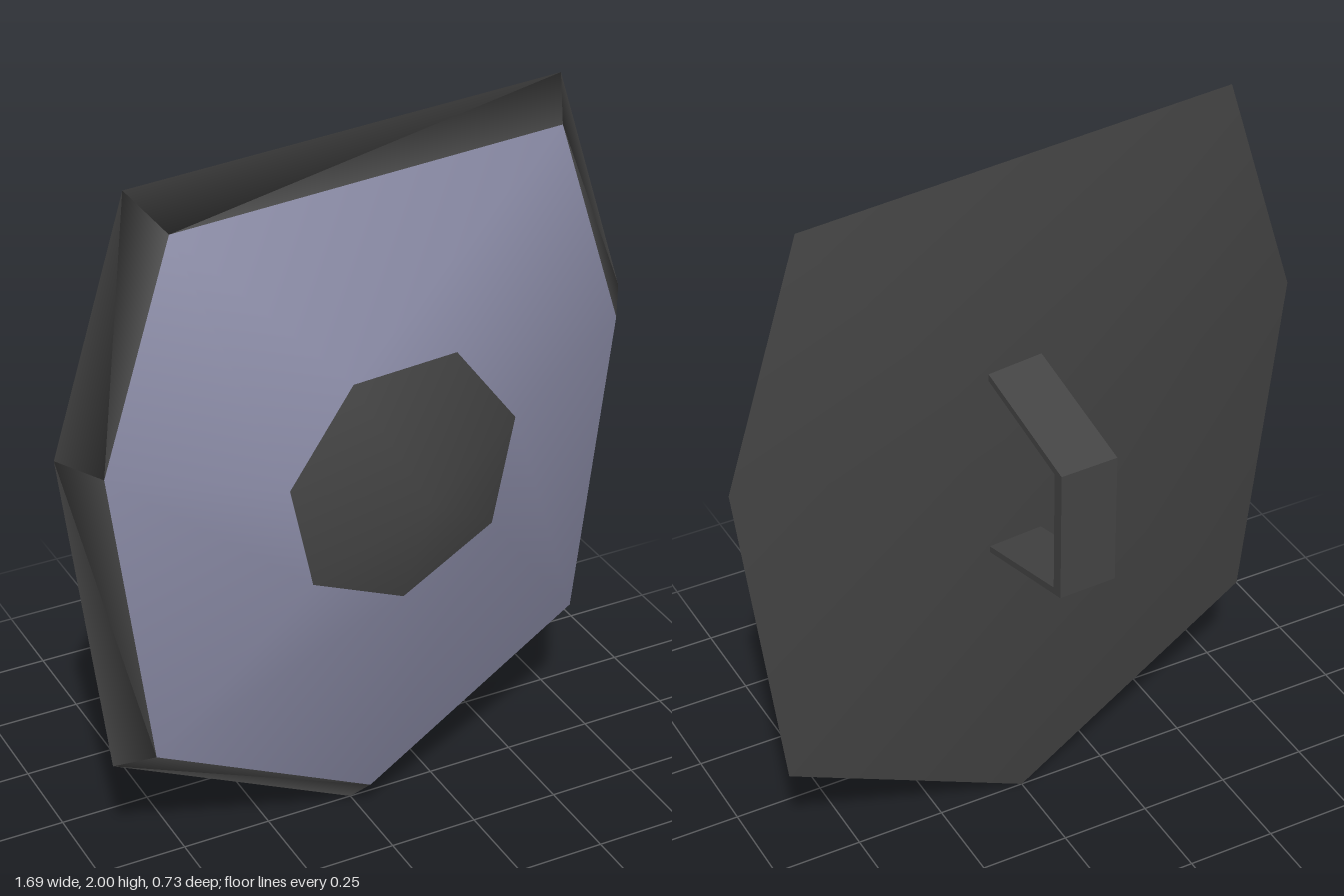
import * as THREE from 'three';

export function createModel() {
  const group = new THREE.Group();
  const darkMetal = new THREE.MeshStandardMaterial({ color: 0x444444 });
  const paleMetal = new THREE.MeshStandardMaterial({ color: 0x8a8ba6 });

  // Seven-sided outlines: tip, then half of the outline, mirrored (counter-clockwise)
  const ring = (tipY, half, z) => [
    [0, tipY, z],
    ...half.map(([x, y]) => [x, y, z]),
    ...half.map(([x, y]) => [-x, y, z]).reverse(),
  ];
  const outer = ring(0, [[0.729, 0.39], [0.849, 1.34], [0.632, 2]], 0);
  const inner = ring(0.1, [[0.655, 0.45], [0.768, 1.31], [0.568, 1.91]], 0.1);
  const bossRing = ring(0.79, [[0.273, 0.92], [0.338, 1.213], [0.153, 1.455]], 0.25);
  const apex = 21, backCentre = 22;
  const points = [...outer, ...inner, ...bossRing, [0, 1.12, 0.368], [0, 1.12, 0]];

  // Triangles of each part, sharing one set of smooth vertices
  const rim = [], panel = [], boss = [];
  for (let i = 0; i < 7; i++) {
    const j = (i + 1) % 7;
    rim.push(i, j, 7 + j, i, 7 + j, 7 + i);
    rim.push(backCentre, j, i);
    panel.push(7 + i, 7 + j, 14 + j, 7 + i, 14 + j, 14 + i);
    boss.push(14 + i, 14 + j, apex);
  }
  const whole = new THREE.BufferGeometry();
  whole.setAttribute('position', new THREE.Float32BufferAttribute(points.flat(), 3));
  whole.setIndex([...rim, ...panel, ...boss]);
  whole.computeVertexNormals();

  // Shield body, turned slightly about the vertical
  const body = new THREE.Group();
  body.name = 'shieldBody';
  body.rotation.y = 0.103;
  const addPart = (name, index, material) => {
    const geometry = new THREE.BufferGeometry();
    geometry.setAttribute('position', whole.getAttribute('position'));
    geometry.setAttribute('normal', whole.getAttribute('normal'));
    geometry.setIndex(index);
    const mesh = new THREE.Mesh(geometry, material);
    mesh.name = name;
    body.add(mesh);
  };
  addPart('rimAndBack', rim, darkMetal);
  addPart('facePanel', panel, paleMetal);
  addPart('boss', boss, darkMetal);
  group.add(body);

  // Handle: bent strap profile (depth, height) extruded across its width
  const profile = [
    [0.01, 1.413], [-0.36, 1.312], [-0.36, 0.938], [0.01, 0.848],
    [0.01, 0.866], [-0.327, 0.95], [-0.327, 1.3], [0.01, 1.393],
  ];
  const shape = new THREE.Shape(profile.map(([z, y]) => new THREE.Vector2(z, y)));
  const width = 0.16;
  const strap = new THREE.ExtrudeGeometry(shape, { depth: width, bevelEnabled: false });
  strap.translate(0, 0, -width / 2);
  strap.rotateY(-Math.PI / 2);
  const handle = new THREE.Mesh(strap, darkMetal);
  handle.name = 'handle';
  handle.position.x = 0.02;
  handle.rotation.y = 0.04;
  group.add(handle);

  return group;
}
